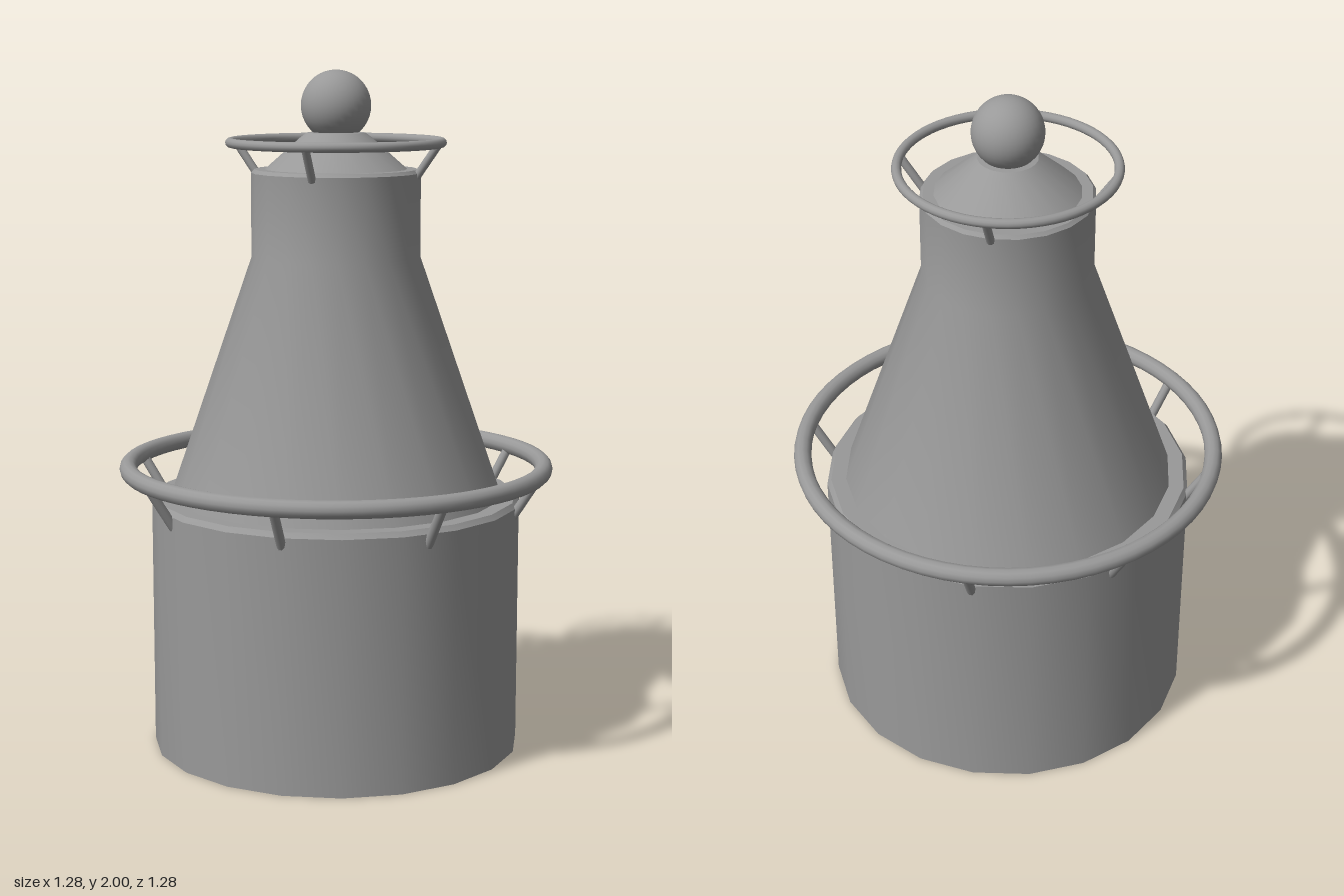
import * as THREE from 'three';
import { toCreasedNormals } from 'three/addons/utils/BufferGeometryUtils.js';

export function createModel() {
  const model = new THREE.Group();
  const grey = new THREE.MeshStandardMaterial({ color: 0x999999 });
  grey.name = 'grey';

  function add(name, geometry, parent = model) {
    const mesh = new THREE.Mesh(geometry, grey);
    mesh.name = name;
    parent.add(mesh);
    return mesh;
  }

  // Twenty-sided turned part, smooth around with crisp ledges
  function turned(name, profile) {
    const points = profile.map(([r, y]) => new THREE.Vector2(r, y));
    add(name, toCreasedNormals(new THREE.LatheGeometry(points, 20), 0.5));
  }

  turned('base', [[0, 0], [0.547, 0], [0.547, 0.74], [0.535, 0.755], [0.49, 0.755]]);
  turned('taperedTower', [[0.49, 0.755], [0.247, 1.46], [0.247, 1.705], [0.238, 1.715], [0.207, 1.715]]);
  turned('cap', [[0.207, 1.715], [0.105, 1.805], [0.085, 1.82], [0, 1.825]]);

  const ball = add('topBall', new THREE.SphereGeometry(0.102, 32, 20));
  ball.position.y = 1.898;

  // Rail ring carried by slanted struts
  function railing(name, radius, tube, y, count, strutRadius, foot) {
    const group = new THREE.Group();
    group.name = name;
    model.add(group);
    const ring = add(name + 'Ring', new THREE.TorusGeometry(radius, tube, 12, 64), group);
    ring.rotation.x = Math.PI / 2;
    ring.position.y = y;
    const start = new THREE.Vector3(foot[0], foot[1], 0);
    const end = new THREE.Vector3(radius, y, 0);
    const strut = new THREE.CylinderGeometry(strutRadius, strutRadius, start.distanceTo(end), 10);
    const dir = end.clone().sub(start).normalize();
    for (let i = 0; i < count; i++) {
      const arm = new THREE.Group();
      arm.name = name + 'Arm';
      arm.rotation.y = (i / count) * Math.PI * 2;
      group.add(arm);
      const mesh = add(name + 'Strut', strut, arm);
      mesh.position.copy(start).lerp(end, 0.5);
      mesh.quaternion.setFromUnitVectors(new THREE.Vector3(0, 1, 0), dir);
    }
  }

  railing('lowerRail', 0.615, 0.026, 0.84, 8, 0.014, [0.53, 0.705]);
  railing('upperRail', 0.307, 0.014, 1.792, 4, 0.012, [0.24, 1.695]);

  return model;
}
